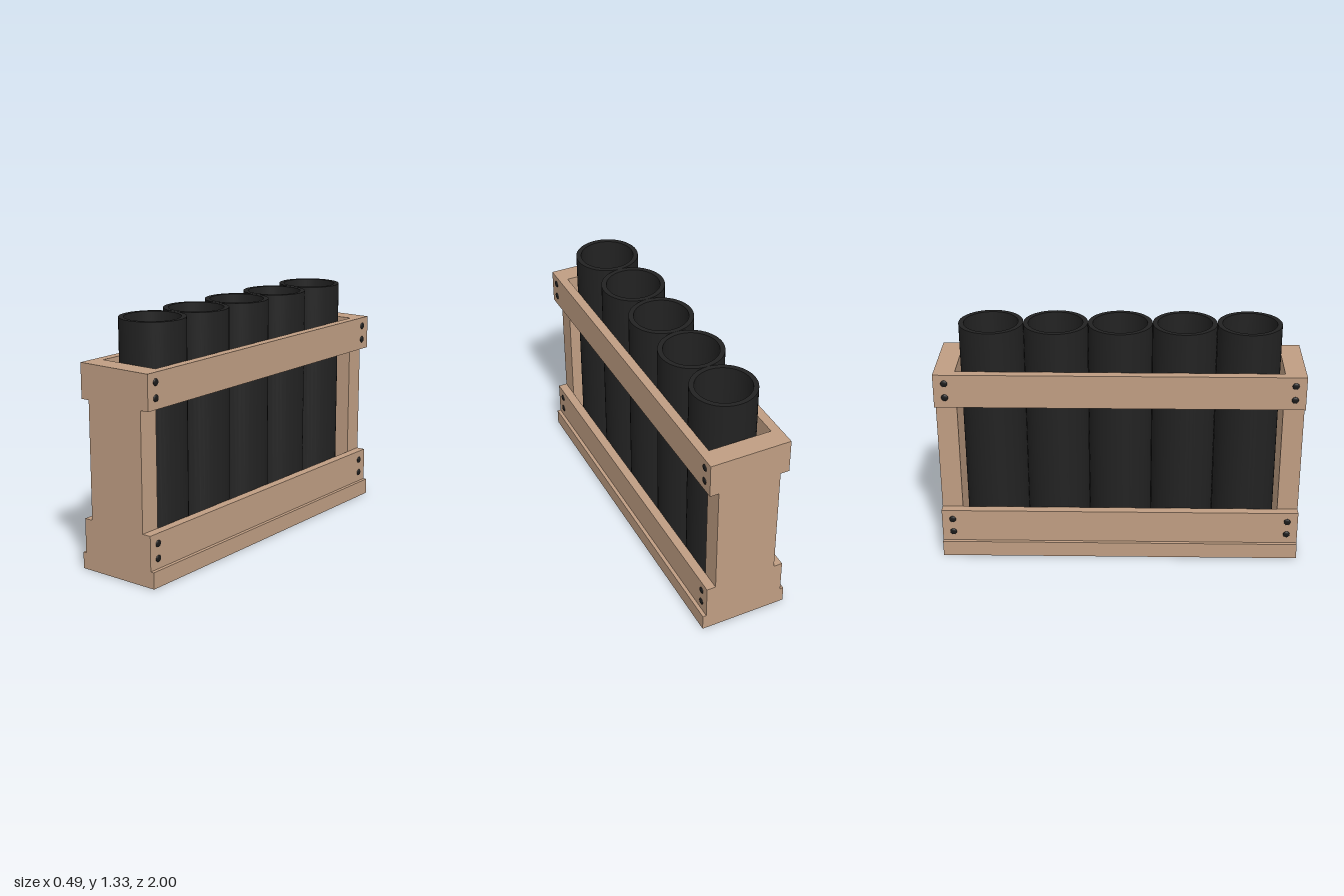
import * as THREE from 'three';

export function createModel() {
  const wood = new THREE.MeshStandardMaterial({ color: 0xc09e83 });
  wood.name = 'wood';
  const black = new THREE.MeshStandardMaterial({ color: 0x222222 });
  black.name = 'black plastic';
  const steel = new THREE.MeshStandardMaterial({ color: 0x1a1a1a });
  steel.name = 'dark steel';

  const model = new THREE.Group();
  model.name = 'tubeRack';

  function add(name, geometry, material, x, y, z) {
    const mesh = new THREE.Mesh(geometry, material);
    mesh.name = name;
    mesh.position.set(x, y, z);
    model.add(mesh);
    return mesh;
  }

  // Box given by its lower and upper height
  function board(name, w, y0, y1, d, x, z) {
    add(name, new THREE.BoxGeometry(w, y1 - y0, d), wood, x, (y0 + y1) / 2, z);
  }

  // Wooden frame: base plank, two end boards, four side rails
  board('base', 0.49, 0, 0.09, 2, 0, 0);
  for (const s of [1, -1]) {
    board(s > 0 ? 'frontBoard' : 'backBoard', 0.35, 0.09, 1.112, 0.115, 0, s * 0.9425);
    const side = s > 0 ? 'left' : 'right';
    board(side + 'LowerRail', 0.05, 0.09, 0.28, 2, s * 0.2, 0);
    board(side + 'UpperRail', 0.05, 0.922, 1.112, 2, s * 0.2, 0);
  }

  // Hollow tubes: outer wall, rim, bore and a closed floor, with sharp edges
  const R = 0.175, r = 0.148, H = 1.24, floor = 0.03;
  const segments = [
    [[0, 0], [R, 0]],
    [[R, 0], [R, H]],
    [[R, H], [r, H]],
    [[r, H], [r, floor]],
    [[r, floor], [0, floor]],
  ].map(points => new THREE.LatheGeometry(points.map(p => new THREE.Vector2(...p)), 48));
  for (let i = 0; i < 5; i++) {
    const tube = new THREE.Group();
    tube.name = 'tube' + (i + 1);
    tube.position.set(0, 0.09, (i - 2) * 0.35);
    segments.forEach((geometry, k) => {
      const mesh = new THREE.Mesh(geometry, black);
      mesh.name = ['underside', 'outerWall', 'rim', 'bore', 'tubeFloor'][k];
      tube.add(mesh);
    });
    model.add(tube);
  }

  // Low domed screw heads at the rail ends
  const screw = new THREE.SphereGeometry(0.019, 16, 6, 0, Math.PI * 2, 0, Math.PI / 2);
  screw.scale(1, 0.37, 1);
  for (const s of [1, -1])
    for (const z of [0.94, -0.94])
      for (const y of [0.145, 0.225, 0.98, 1.062])
        add('screw', screw, steel, s * 0.225, y, z).rotation.z = -s * Math.PI / 2;

  return model;
}
